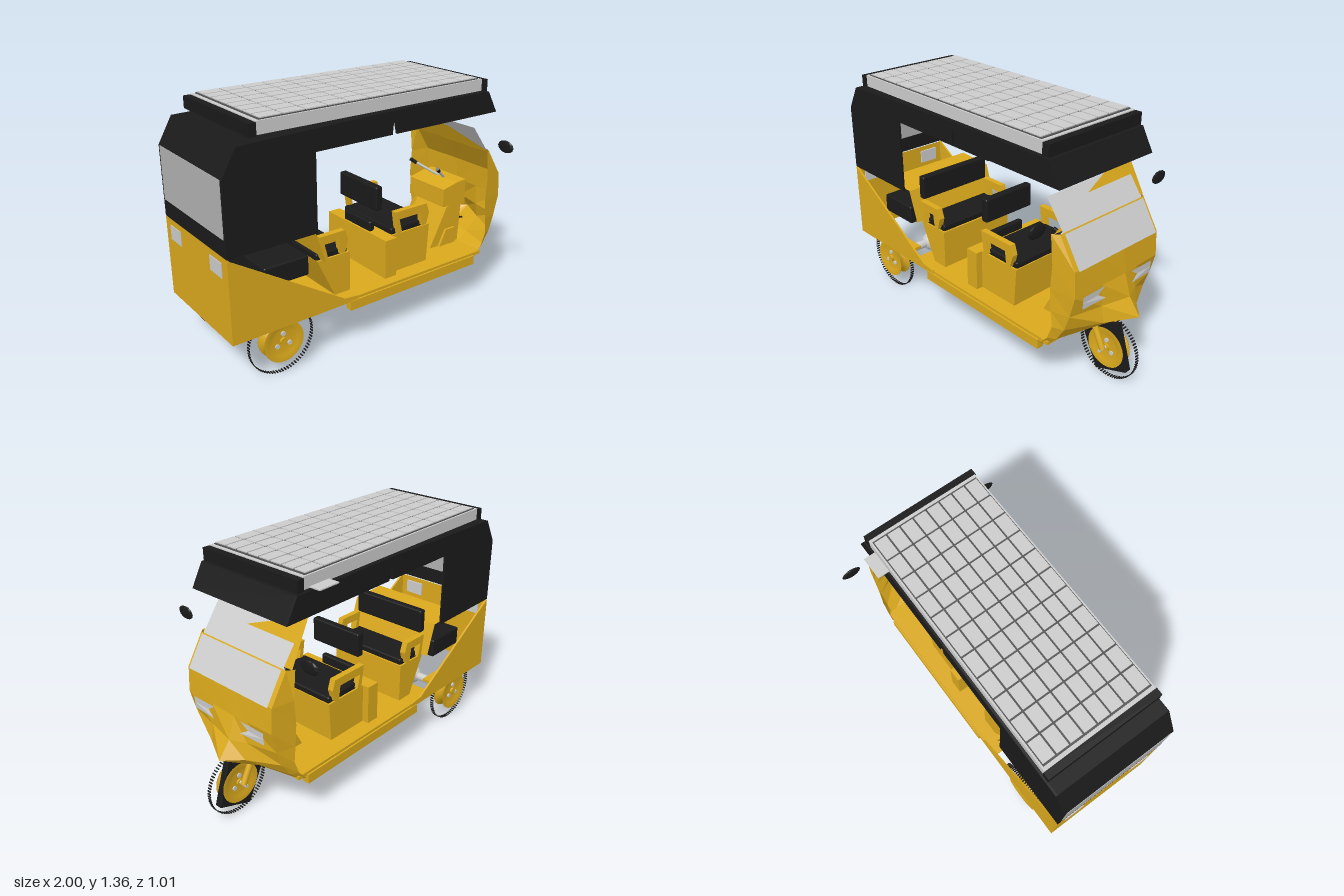
import * as THREE from 'three';
import { RoundedBoxGeometry } from 'three/addons/geometries/RoundedBoxGeometry.js';

const mat = (color) => new THREE.MeshStandardMaterial({ color, side: THREE.DoubleSide, flatShading: true });
const smooth = (color) => new THREE.MeshStandardMaterial({ color, side: THREE.DoubleSide });
const yellow = mat(0xd9a81c), black = mat(0x1a1a1a), grey = mat(0xcccccc), dark = mat(0x555555), pane = mat(0xb0b0b0);
const yellowS = smooth(0xd9a81c), greyS = smooth(0xcccccc);

export function createModel() {
  const model = new THREE.Group();
  const add = (name, geo, m, x = 0, y = 0, z = 0, parent = model) => {
    const mesh = new THREE.Mesh(geo, m);
    mesh.name = name;
    mesh.position.set(x, y, z);
    parent.add(mesh);
    return mesh;
  };
  // box given by its min and max on each axis
  const box = (name, m, x0, x1, y0, y1, z0, z1) =>
    add(name, new THREE.BoxGeometry(x1 - x0, y1 - y0, z1 - z0), m, (x0 + x1) / 2, (y0 + y1) / 2, (z0 + z1) / 2);
  const pad = (name, x0, x1, y0, y1, w) =>
    add(name, new RoundedBoxGeometry(x1 - x0, y1 - y0, 2 * w, 2, 0.01), black, (x0 + x1) / 2, (y0 + y1) / 2, 0);
  // side outline in x,y extruded across z, centred on z
  const prism = (name, m, pts, depth, z = 0, hole) => {
    const s = new THREE.Shape(pts.map((p) => new THREE.Vector2(...p)));
    if (hole) s.holes.push(hole);
    return add(name, new THREE.ExtrudeGeometry(s, { depth, bevelEnabled: false }), m, 0, 0, z - depth / 2);
  };
  // open surface through rows of points
  const loft = (name, m, rows) => {
    const n = rows[0].length, idx = [];
    for (let r = 0; r < rows.length - 1; r++)
      for (let i = 0; i < n - 1; i++) {
        const a = r * n + i, b = a + n;
        idx.push(a, a + 1, b, a + 1, b + 1, b);
      }
    const g = new THREE.BufferGeometry();
    g.setAttribute('position', new THREE.Float32BufferAttribute(rows.flat(2), 3));
    g.setIndex(idx);
    g.computeVertexNormals();
    return add(name, g, m);
  };
  // sheet spanning the full width along a path in x,y
  const sheet = (name, m, pts, w) => loft(name, m, pts.map(([x, y]) => [[x, y, w], [x, y, -w]]));
  const rod = (name, m, a, b, r, seg = 12) => {
    const A = new THREE.Vector3(...a), B = new THREE.Vector3(...b), d = B.clone().sub(A);
    const mesh = add(name, new THREE.CylinderGeometry(r, r, d.length(), seg), m);
    mesh.position.copy(A).add(B).multiplyScalar(0.5);
    mesh.quaternion.setFromUnitVectors(new THREE.Vector3(0, 1, 0), d.normalize());
    return mesh;
  };

  // lower body
  box('floor', yellow, -0.45, 0.68, 0.28, 0.3, -0.33, 0.33);
  sheet('rearPanel', yellow, [[-1, 0.28], [-1, 0.73]], 0.335);
  sheet('rearShelf', yellow, [[-0.72, 0.735], [-0.49, 0.725], [-0.43, 0.54]], 0.3);
  pad('luggageSlab', -0.78, -0.52, 0.49, 0.6, 0.28);
  for (const s of [1, -1]) {
    prism('rearSidePanel', yellow, [[-1, 0.28], [-0.25, 0.28], [-0.25, 0.305], [-0.34, 0.315], [-1, 0.73]], 0.012, s * 0.33);
    box('runningBoard', yellow, -0.3, 0.62, 0.23, 0.285, s * 0.32 - 0.02, s * 0.32 + 0.02);
    box('tailLight', grey, -1.004, -0.99, 0.62, 0.7, s * 0.22 - 0.06, s * 0.22 + 0.06);
  }

  // canopy with valance, closed sides behind the rear seat
  const outline = [[-1, 0.735], [-1, 1.12], [-0.92, 1.26], [-0.03, 1.28], [0.66, 1.28], [0.73, 1.155],
    [0, 1.155], [-0.02, 1.25], [-0.03, 1.155], [-0.5, 1.155], [-0.5, 0.735]];
  for (const s of [1, -1]) prism('canopySide', black, outline, 0.012, s * 0.33);
  sheet('canopyTop', black, outline.slice(0, 6), 0.335);
  box('rearWindow', pane, -1.003, -0.992, 0.83, 1.12, -0.32, 0.32);

  // roof panel tray
  box('roofTray', grey, -0.81, 0.61, 1.29, 1.355, -0.325, 0.325);
  box('roofGridBase', dark, -0.79, 0.59, 1.355, 1.36, -0.315, 0.315);
  const nx = 11, nz = 8, cx = 1.37 / nx, cz = 0.63 / nz;
  for (let i = 0; i < nx; i++)
    for (let j = 0; j < nz; j++)
      add('roofCell', new THREE.BoxGeometry(cx - 0.01, 0.006, cz - 0.01), grey, -0.785 + (i + 0.5) * cx, 1.362, -0.315 + (j + 0.5) * cz);
  box('roofEndRear', black, -0.85, -0.81, 1.285, 1.35, -0.33, 0.33);
  box('roofEndFront', black, 0.61, 0.65, 1.285, 1.35, -0.33, 0.33);
  box('roofBracket', grey, 0.44, 0.57, 1.292, 1.298, -0.39, -0.32);

  // front shell: height, then x at side edge, front corner and centre
  const shell = [[0.27, 0.63, 0.66, 0.68], [0.33, 0.68, 0.72, 0.82], [0.41, 0.71, 0.77, 0.95], [0.5, 0.7, 0.8, 0.88],
    [0.62, 0.69, 0.83, 0.84], [0.76, 0.7, 0.82, 0.825], [0.92, 0.685, 0.72, 0.72]];
  loft('frontShell', yellow, shell.map(([y, a, b, c]) => [[a, y, 0.335], [b, y, 0.31], [(b + c) / 2, y, 0.12],
    [c, y, -0.05], [(b + c) / 2, y, -0.14], [b, y, -0.31], [a, y, -0.335]]));
  loft('windscreenFrame', yellow, [[[0.7, 0.92, 0.33], [0.7, 0.92, -0.33]], [[0.7, 0.921, 0.33], [0.575, 1.15, -0.32]]]);
  sheet('windscreen', grey, [[0.832, 0.76], [0.732, 0.92]], 0.29);
  sheet('windscreenUpper', grey, [[0.72, 0.92], [0.61, 1.07]], 0.29);
  for (const s of [1, -1]) {
    loft('headlight', grey, [[[0.84, 0.61, s * 0.1], [0.84, 0.61, s * 0.26]], [[0.838, 0.575, s * 0.15], [0.838, 0.575, s * 0.26]],
      [[0.848, 0.545, s * 0.1], [0.836, 0.54, s * 0.26]]]);
    const mirror = add('mirror', new THREE.SphereGeometry(1, 8, 6), black, 0.705, 0.98, s * 0.448);
    mirror.scale.set(0.01, 0.036, 0.057);
  }

  // driver console and handlebar
  prism('consoleBox', yellow, [[0.53, 0.56], [0.71, 0.54], [0.71, 0.7], [0.64, 0.695], [0.53, 0.67]], 0.3);
  prism('consolePanel', yellow, [[0.45, 0.29], [0.68, 0.28], [0.7, 0.55], [0.58, 0.54]], 0.26);
  prism('consoleInset', yellow, [[0.52, 0.3], [0.65, 0.3], [0.64, 0.4], [0.57, 0.4]], 0.29);
  for (const s of [1, -1]) {
    rod('handlebar', greyS, [0.65, 0.69, s * 0.02], [0.51, 0.79, s * 0.11], 0.008);
    rod('grip', black, [0.53, 0.775, s * 0.1], [0.5, 0.8, s * 0.12], 0.011);
  }

  // seats: tapered base, cushion, padded back and two armrests
  const seat = (x0, x1, basePts, w, padX, padW) => {
    prism('seatBase', yellow, basePts, 2 * w);
    pad('seatCushion', x0, x1, 0.525, 0.565, w - 0.01);
    pad('seatBack', padX, padX + 0.045, 0.67, 0.81, padW);
    const a = x0 + 0.01, b = x1 - 0.01;
    for (const s of [1, -1])
      prism('armrest', yellow, [[a + 0.02, 0.535], [a + 0.05, 0.54], [a + 0.03, 0.62], [b - 0.06, 0.62], [b - 0.05, 0.54],
        [b - 0.02, 0.54], [b, 0.61], [b - 0.02, 0.668], [a, 0.668]], 0.035, s * (w - 0.005));
  };
  seat(-0.45, -0.25, [[-0.45, 0.53], [-0.34, 0.3], [-0.24, 0.3], [-0.24, 0.53]], 0.25, -0.475, 0.24);
  seat(0.07, 0.34, [[0.07, 0.53], [0.07, 0.3], [0.33, 0.3], [0.345, 0.53]], 0.23, 0.0, 0.17);
  box('seatBox', yellow, -0.01, 0.07, 0.29, 0.53, -0.27, 0.27);
  pad('seatBackMount', -0.005, 0.03, 0.53, 0.59, 0.12);

  // wheel: spun rim, hub caps, bolts and a ring of tread blocks
  const wheel = (name, x, y, z, R, half) => {
    const g = new THREE.Group();
    g.name = name;
    g.position.set(x, y, z);
    model.add(g);
    const prof = [[0.0, -0.6], [0.06, -0.6], [0.085, -0.8], [0.115, -1], [0.115, -0.85], [0.085, -0.4],
      [0.085, 0.4], [0.115, 0.85], [0.115, 1], [0.085, 0.8], [0.06, 0.6], [0, 0.6]];
    add('rim', new THREE.LatheGeometry(prof.map(([r, h]) => new THREE.Vector2(r, h * half)), 32), yellowS, 0, 0, 0, g).rotation.x = Math.PI / 2;
    add('hub', new THREE.CylinderGeometry(0.02, 0.02, half * 1.9, 12), yellowS, 0, 0, 0, g).rotation.x = Math.PI / 2;
    for (let i = 0; i < 3; i++) {
      const t = (i / 3) * Math.PI * 2 + Math.PI / 2;
      add('bolt', new THREE.CylinderGeometry(0.013, 0.013, half * 1.7, 8), greyS, Math.cos(t) * 0.042, Math.sin(t) * 0.042, 0, g).rotation.x = Math.PI / 2;
    }
    for (let i = 0; i < 72; i++) {
      const t = (i / 72) * Math.PI * 2;
      add('tread', new THREE.BoxGeometry(0.005, 0.007, 0.022), black, Math.cos(t) * (R - 0.003), Math.sin(t) * (R - 0.003), 0, g).rotation.z = t;
    }
  };
  for (const s of [1, -1]) wheel('rearWheel', -0.71, 0.19, s * 0.292, 0.19, 0.035);
  wheel('frontWheel', 0.81, 0.187, 0, 0.187, 0.03);

  // front tyre remainder and fork
  const hole = new THREE.Path().absarc(0.81, 0.187, 0.1, 0, Math.PI * 2, true);
  prism('frontTyre', black, [[0.635, 0.25], [0.75, 0.02], [0.945, 0.095], [0.865, 0.35]], 0.04, 0, hole);
  for (const s of [1, -1]) {
    rod('forkShock', yellowS, [0.82, 0.2, s * 0.065], [0.76, 0.32, s * 0.065], 0.017);
    rod('forkLeg', greyS, [0.81, 0.187, s * 0.05], [0.74, 0.36, s * 0.05], 0.009);
  }
  rod('frontAxle', greyS, [0.81, 0.19, -0.08], [0.81, 0.19, 0.08], 0.01);

  // rear axle, motor and suspension
  rod('rearAxle', greyS, [-0.71, 0.195, -0.26], [-0.71, 0.195, 0.26], 0.026, 16);
  rod('motor', greyS, [-0.74, 0.195, 0], [-0.56, 0.195, 0], 0.052, 20);
  add('differential', new THREE.SphereGeometry(0.06, 16, 12), greyS, -0.71, 0.195, 0);
  for (const s of [1, -1]) {
    box('springSeat', yellow, -0.78, -0.64, 0.22, 0.236, s * 0.18 - 0.045, s * 0.18 + 0.045);
    for (let i = 0; i < 5; i++)
      add('springCoil', new THREE.TorusGeometry(0.018, 0.004, 6, 14), greyS, -0.71, 0.242 + i * 0.011, s * 0.21).rotation.x = Math.PI / 2;
  }
  return model;
}
